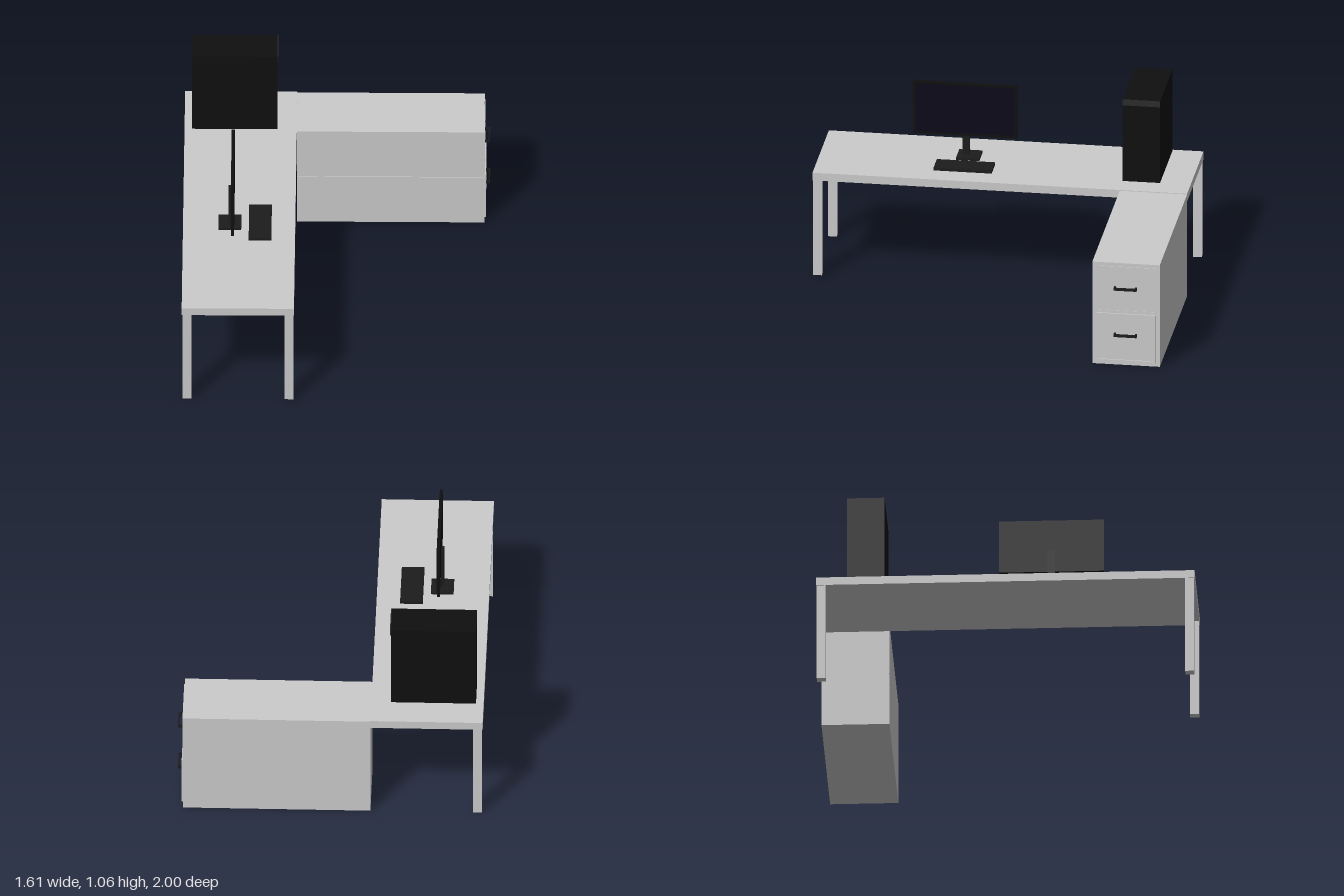
import * as THREE from 'three';

const mat = (color) => new THREE.MeshStandardMaterial({ color });

export function createModel() {
  const model = new THREE.Group();
  const grey = mat(0xcccccc);
  const black = mat(0x0f0f0f);
  const dark = mat(0x1c1c1c);
  const screenBlue = mat(0x0a0818);

  // Box given by its limits on each axis
  const box = (name, [x0, x1], [y0, y1], [z0, z1], material, parent = model) => {
    const m = new THREE.Mesh(new THREE.BoxGeometry(x1 - x0, y1 - y0, z1 - z0), material);
    m.position.set((x0 + x1) / 2, (y0 + y1) / 2, (z0 + z1) / 2);
    m.name = name;
    parent.add(m);
    return m;
  };
  const group = (name) => {
    const g = new THREE.Group();
    g.name = name;
    model.add(g);
    return g;
  };

  // Desk: long top on three legs, the cabinet carries the fourth corner
  const desk = group('desk');
  box('deskTop', [-0.808, -0.215], [0.54, 0.584], [-1, 1], grey, desk);
  for (const [x, z] of [[-0.804, 0.95], [-0.264, 0.95], [-0.804, -0.998]]) {
    box('leg', [x, x + 0.047], [0, 0.54], [z, z + 0.048], grey, desk);
  }

  // Cabinet: body with two front slabs leaving a fine seam
  const cabinet = group('cabinet');
  box('cabinetBody', [-0.215, 0.775], [0, 0.58], [-1, -0.645], grey, cabinet);
  box('lowerSide', [-0.215, 0.775], [0, 0.289], [-0.645, -0.64], grey, cabinet);
  box('upperSide', [-0.215, 0.775], [0.292, 0.58], [-0.645, -0.64], grey, cabinet);

  // Drawer fronts on the end of the cabinet, with a rim and a handle each
  const rim = (y0, y1, width, depth) => {
    const rect = (P, a, b, c, d) => new P([
      new THREE.Vector2(a, c), new THREE.Vector2(b, c),
      new THREE.Vector2(b, d), new THREE.Vector2(a, d)]);
    const shape = rect(THREE.Shape, 0.66, 0.977, y0, y1);
    shape.holes.push(rect(THREE.Path, 0.66 + width, 0.977 - width, y0 + width, y1 - width));
    const geo = new THREE.ExtrudeGeometry(shape, { depth, bevelEnabled: false });
    geo.rotateY(Math.PI / 2);
    const m = new THREE.Mesh(geo, grey);
    m.position.x = 0.775;
    m.name = 'drawerRim';
    cabinet.add(m);
  };
  for (const [y0, y1, handleY, depth] of [[0.022, 0.293, 0.175, 0.008], [0.303, 0.56, 0.44, 0.004]]) {
    rim(y0, y1, 0.008, depth);
    box('drawerFront', [0.775, 0.777], [y0 + 0.008, y1 - 0.008], [-0.969, -0.668], grey, cabinet);
    box('handleBar', [0.796, 0.805], [handleY - 0.007, handleY + 0.007], [-0.88, -0.757], dark, cabinet);
    for (const z of [-0.88, -0.767]) {
      box('handlePost', [0.777, 0.796], [handleY - 0.007, handleY + 0.007], [z, z + 0.01], dark, cabinet);
    }
  }

  // Computer tower with a protruding strip at the top of its face
  const tower = group('computerTower');
  box('towerCase', [-0.768, -0.318], [0.594, 1.06], [-0.84, -0.64], black, tower);
  box('towerTopStrip', [-0.318, -0.313], [1.028, 1.06], [-0.84, -0.64], mat(0x2c2c2c), tower);

  // Monitor facing +x
  const monitor = group('monitor');
  box('monitorPanel', [-0.553, -0.537], [0.71, 1.008], [-0.045, 0.51], black, monitor);
  box('screen', [-0.537, -0.5355], [0.724, 0.995], [-0.029, 0.494], screenBlue, monitor);
  box('monitorNeck', [-0.568, -0.553], [0.596, 0.83], [0.212, 0.25], dark, monitor);
  box('monitorBase', [-0.62, -0.5], [0.584, 0.597], [0.152, 0.276], dark, monitor);

  // Keyboard in front of the screen
  box('keyboard', [-0.46, -0.34], [0.584, 0.6], [0.062, 0.372], dark);

  return model;
}
